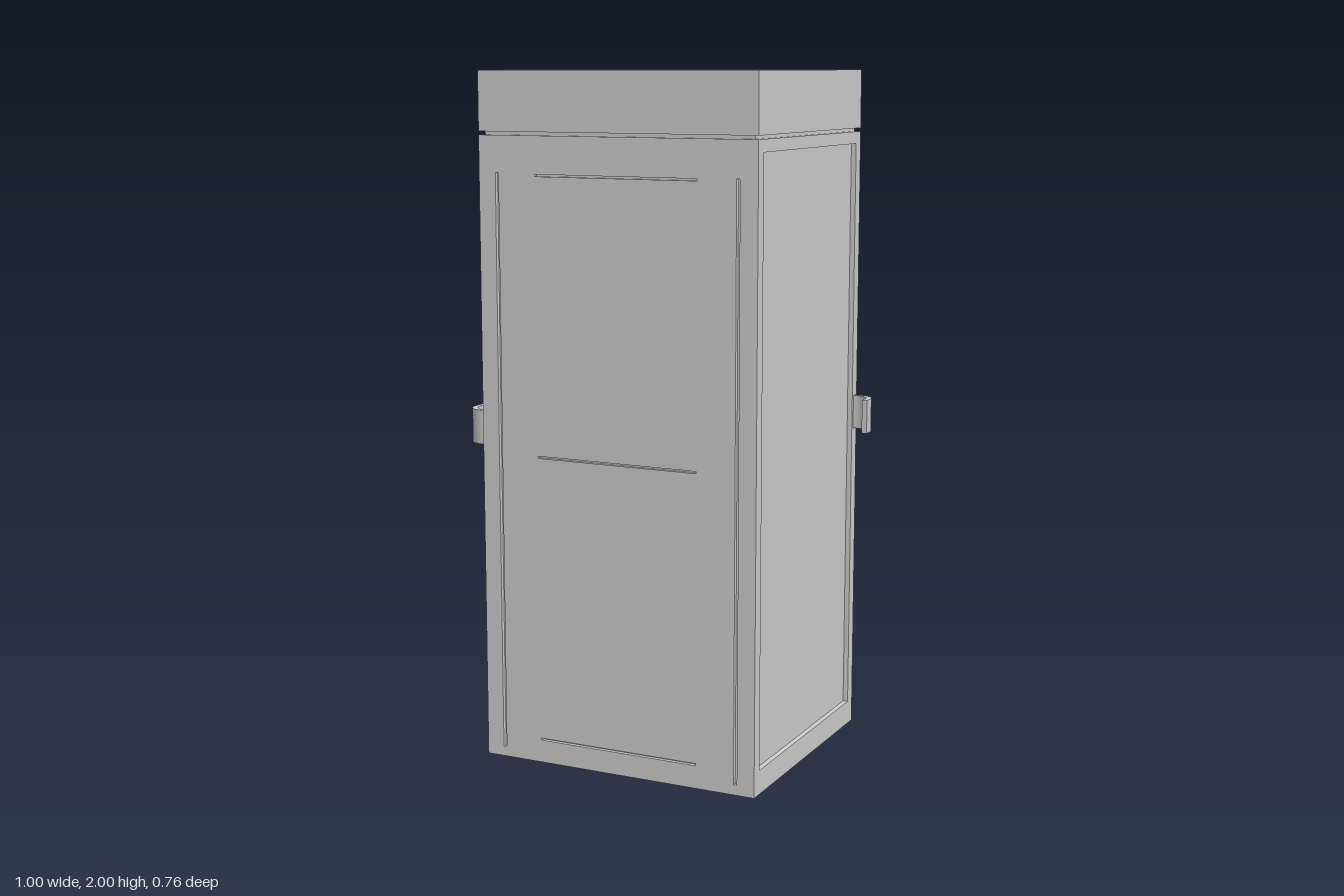
import * as THREE from 'three';
import { toCreasedNormals } from 'three/addons/utils/BufferGeometryUtils.js';

const W = 0.43, D = 0.378;          // half width and half depth
const BODY_TOP = 1.82, LID_BOTTOM = 1.83;
const SIDE_T = 0.015, FACE_T = 0.012; // thickness of the outer skins

const material = new THREE.MeshStandardMaterial({ color: 0xcccccc });

function addMesh(parent, name, geometry) {
  const mesh = new THREE.Mesh(geometry, material);
  mesh.name = name;
  parent.add(mesh);
  return mesh;
}

function rect(path, x0, y0, x1, y1) {
  path.moveTo(x0, y0);
  path.lineTo(x1, y0);
  path.lineTo(x1, y1);
  path.lineTo(x0, y1);
  path.closePath();
  return path;
}

// Flat sheet with rectangular cut-outs, outer face towards +z
function sheet(halfWidth, thickness, cutouts) {
  const shape = rect(new THREE.Shape(), -halfWidth, 0, halfWidth, BODY_TOP);
  for (const c of cutouts) shape.holes.push(rect(new THREE.Path(), ...c));
  return new THREE.ExtrudeGeometry(shape, { depth: thickness, bevelEnabled: false });
}

// Curved hook strip, for the +x side near the back
function hookGeometry(outerZ, endZ) {
  const r = 0.06, t = 0.016, cx = 0.5 - r, cy = outerZ - r;
  const s = new THREE.Shape();
  s.moveTo(W - 0.008, outerZ);
  s.lineTo(cx, outerZ);
  s.absarc(cx, cy, r, Math.PI / 2, 0, true);
  s.lineTo(0.5, endZ);
  s.lineTo(0.5 - t, endZ);
  s.lineTo(0.5 - t, cy);
  s.absarc(cx, cy, r - t, 0, Math.PI / 2, false);
  s.lineTo(W - 0.008, outerZ - t);
  s.closePath();
  const g = new THREE.ExtrudeGeometry(s, { depth: 0.1, bevelEnabled: false, curveSegments: 12 });
  g.rotateX(-Math.PI / 2);
  g.translate(0, 0.93, 0);
  return toCreasedNormals(g, Math.PI / 5);
}

export function createModel() {
  const model = new THREE.Group();
  model.name = 'cabinet';

  // Inner core, also the neck visible in the gap under the lid
  const core = new THREE.BoxGeometry(2 * (W - SIDE_T), LID_BOTTOM, 2 * (D - FACE_T));
  addMesh(model, 'core', core.translate(0, LID_BOTTOM / 2, 0));

  // Lid
  const lidH = 2 - LID_BOTTOM;
  addMesh(model, 'lid', new THREE.BoxGeometry(2 * W, lidH, 2 * D).translate(0, 2 - lidH / 2, 0));

  // Front and back faces with thin vertical and horizontal slots
  const slots = [-0.372, 0.372].map((x) => [x - 0.005, 0.03, x + 0.005, 1.715]);
  for (const y of [0.07, 0.91, 1.71]) slots.push([-0.25, y - 0.003, 0.25, y + 0.003]);
  const face = sheet(W, FACE_T, slots).translate(0, 0, D - FACE_T);
  addMesh(model, 'frontFace', face);
  addMesh(model, 'backFace', face).rotation.y = Math.PI;

  // Side frames around recessed door panels
  const frame = sheet(D - FACE_T, SIDE_T, [[-0.342, 0.07, 0.342, 1.785]]).translate(0, 0, W - SIDE_T);
  addMesh(model, 'leftFrame', frame).rotation.y = Math.PI / 2;
  addMesh(model, 'rightFrame', frame).rotation.y = -Math.PI / 2;

  // Door handles at opposite corners
  addMesh(model, 'leftHandle', hookGeometry(0.368, 0.282));
  addMesh(model, 'rightHandle', hookGeometry(0.365, 0.262)).rotation.y = Math.PI;

  return model;
}
